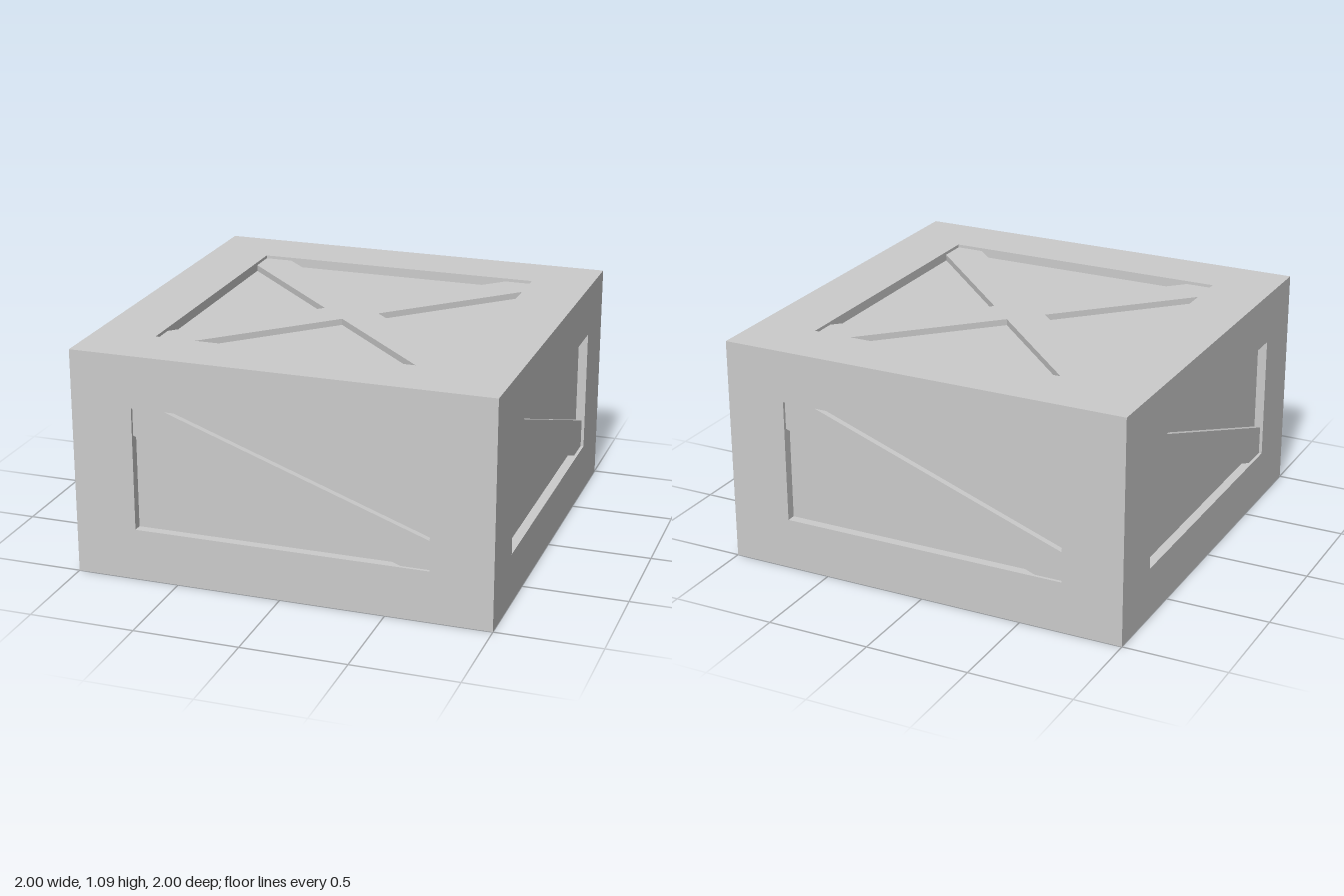
import * as THREE from 'three';

const SIZE = 2, HEIGHT = 1.09;      // crate
const WIN = 0.705, WIN_H = 0.2975;  // half sizes of the recessed windows
const RECESS = 0.045, BRACE_GAP = 0.015;

const material = new THREE.MeshStandardMaterial({ color: 0xcccccc, flatShading: true });

const toShape = (points) => new THREE.Shape(points.map(([x, y]) => new THREE.Vector2(x, y)));
const rect = (a, b) => [[-a, -b], [a, -b], [a, b], [-a, b]];

function extrude(shape, depth) {
  return new THREE.ExtrudeGeometry(shape, { depth, bevelEnabled: false }).translate(0, 0, -RECESS);
}

// Window frame whose outer rim is mitred so neighbouring sides meet at the edges
function frameGeometry(halfW, halfH, winW, winH) {
  const shape = toShape(rect(halfW, halfH));
  shape.holes.push(toShape(rect(winW, winH).reverse()));
  const geometry = extrude(shape, RECESS);
  const p = geometry.attributes.position;
  for (let i = 0; i < p.count; i++) {
    const x = p.getX(i), y = p.getY(i);
    if (p.getZ(i) > -RECESS / 2 || Math.abs(x) < halfW - 1e-4) continue;
    p.setXY(i, x - Math.sign(x) * RECESS, y - Math.sign(y) * RECESS);
  }
  geometry.computeVertexNormals();
  return geometry;
}

// One diagonal plank, from upper left to lower right
function diagonalShape() {
  const half = [[-WIN, 0.16], [-WIN, WIN_H], [-0.567, WIN_H]];
  return toShape([...half, ...half.map(([x, y]) => [-x, -y])].reverse());
}

// Two crossing planks, one quarter repeated by rotation
function crossShape() {
  const points = [];
  let quarter = [[0.135, 0], [WIN, 0.57], [WIN, WIN], [0.57, WIN]];
  for (let i = 0; i < 4; i++) {
    points.push(...quarter);
    quarter = quarter.map(([x, y]) => [-y, x]);
  }
  return toShape(points);
}

export function createModel() {
  const model = new THREE.Group();
  model.name = 'crate';

  const add = (parent, name, geometry) => {
    const mesh = new THREE.Mesh(geometry, material);
    mesh.name = name;
    parent.add(mesh);
    return mesh;
  };

  // Inner box gives the recessed panels on all sides
  const inner = SIZE - 2 * RECESS;
  add(model, 'panels', new THREE.BoxGeometry(inner, HEIGHT - 2 * RECESS, inner)).position.y = HEIGHT / 2;

  const braceDepth = RECESS - BRACE_GAP;
  const sideFrame = frameGeometry(SIZE / 2, HEIGHT / 2, WIN, WIN_H);
  const sideBrace = extrude(diagonalShape(), braceDepth);
  const lidFrame = frameGeometry(SIZE / 2, SIZE / 2, WIN, WIN);
  const lidBrace = extrude(crossShape(), braceDepth);

  // Four walls with a diagonal brace
  ['front', 'left', 'back', 'right'].forEach((name, i) => {
    const side = new THREE.Group();
    side.name = name + 'Wall';
    add(side, name + 'Frame', sideFrame);
    add(side, name + 'Brace', sideBrace);
    const angle = i * Math.PI / 2;
    side.rotation.y = angle;
    side.position.set(Math.sin(angle) * SIZE / 2, HEIGHT / 2, Math.cos(angle) * SIZE / 2);
    model.add(side);
  });

  // Lid and base with a cross brace
  [['lid', -1, HEIGHT], ['base', 1, 0]].forEach(([name, turn, y]) => {
    const side = new THREE.Group();
    side.name = name;
    add(side, name + 'Frame', lidFrame);
    add(side, name + 'CrossBrace', lidBrace);
    side.rotation.x = turn * Math.PI / 2;
    side.position.y = y;
    model.add(side);
  });

  return model;
}
